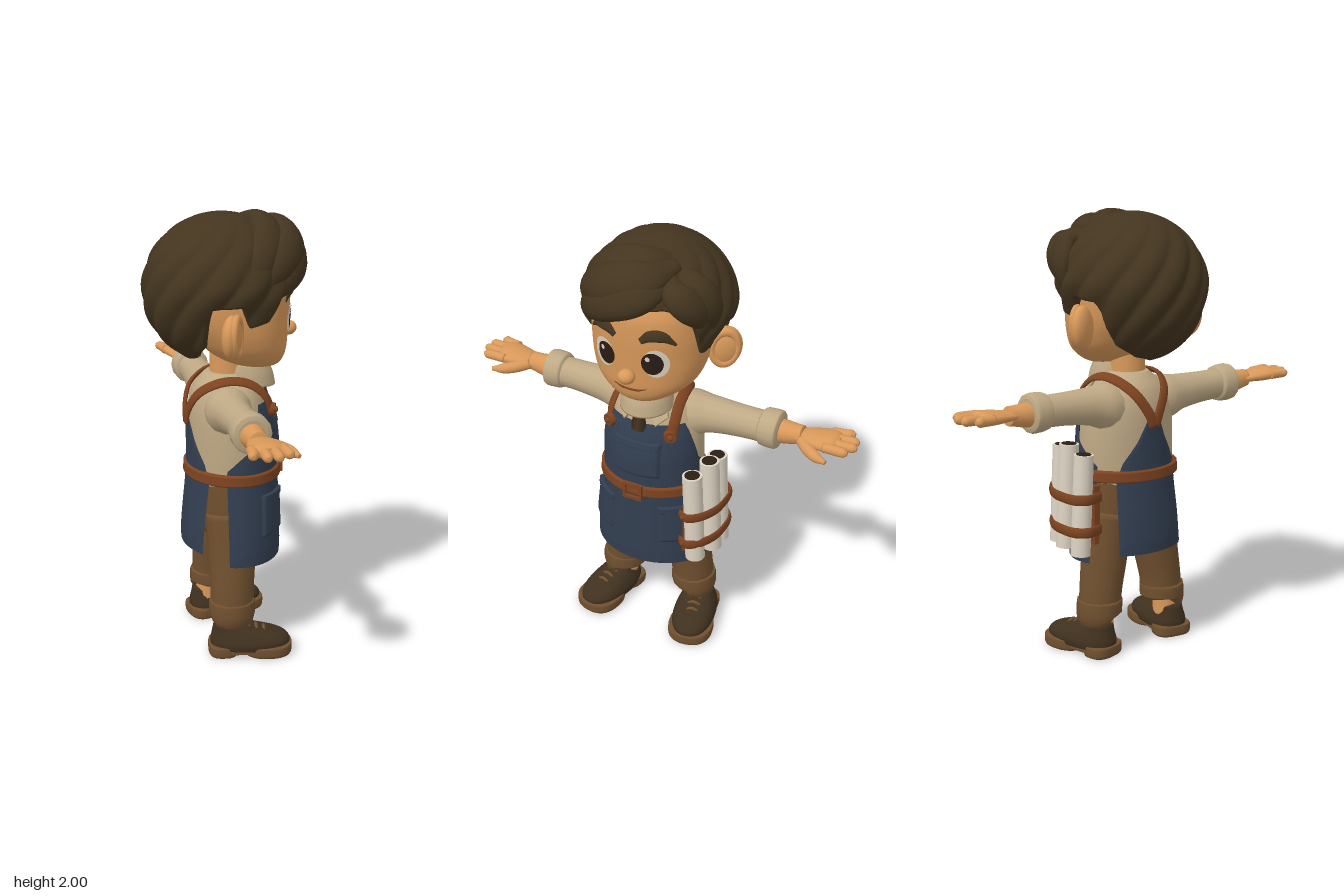
import * as THREE from 'three';
import { mergeVertices } from 'three/addons/utils/BufferGeometryUtils.js';

const V = (x, y, z) => new THREE.Vector3(x, y, z);
const paint = (name, color, side = THREE.FrontSide) => {
  const m = new THREE.MeshStandardMaterial({ color, side });
  m.name = name;
  return m;
};

// Smooth surface from a function of (u, v)
function grid(fn, nu, nv) {
  const pos = [], idx = [];
  for (let j = 0; j <= nv; j++) for (let i = 0; i <= nu; i++) pos.push(...fn(i / nu, j / nv, j));
  for (let j = 0; j < nv; j++) for (let i = 0; i < nu; i++) {
    const a = j * (nu + 1) + i, b = a + 1, c = a + nu + 1, d = c + 1;
    idx.push(a, b, d, a, d, c);
  }
  let g = new THREE.BufferGeometry();
  g.setAttribute('position', new THREE.Float32BufferAttribute(pos, 3));
  g.setIndex(idx);
  g = mergeVertices(g, 1e-5);
  g.computeVertexNormals();
  return g;
}

// Smooth interpolation through rows of numbers, t in 0..1
function spline(rows, t) {
  const n = rows.length - 1, f = Math.min(Math.max(t, 0), 1) * n, i = Math.min(Math.floor(f), n - 1), k = f - i;
  const at = j => rows[Math.min(Math.max(j, 0), n)];
  return rows[0].map((_, c) => {
    const p = at(i - 1)[c], q = at(i)[c], r = at(i + 1)[c], s = at(i + 2)[c];
    return q + 0.5 * k * (r - p + k * (2 * p - 5 * q + 4 * r - s + k * (3 * (q - r) + s - p)));
  });
}
function rowAtY(rows, y) {
  let lo = 0, hi = 1;
  for (let i = 0; i < 30; i++) { const m = (lo + hi) / 2; if (spline(rows, m)[0] < y) lo = m; else hi = m; }
  return spline(rows, lo);
}
const pw = (v, e) => Math.sign(v) * Math.abs(v) ** e;

// Closed body from rows [y, half width, back z, front z]
function loft(rows, n = 2, nu = 40, nv = 28) {
  return grid((u, v, j) => {
    const [y, hx, zb, zf] = spline(rows, (j - 1) / (nv - 2));
    const a = u * Math.PI * 2, s = j === 0 || j === nv ? 0 : 1;
    return [s * hx * pw(Math.sin(a), 2 / n), y, (zb + zf) / 2 + s * (zf - zb) / 2 * pw(Math.cos(a), 2 / n)];
  }, nu, nv);
}

// Tapered strand through points; flat squashes it towards the centre point
function sweep(pts, radii, flat = 1, centre = V(0, 99, 0), nu = 14, nv = 28) {
  const curve = new THREE.CatmullRomCurve3(pts.map(p => V(...p)), false, 'centripetal');
  return grid((u, v, j) => {
    const t = Math.min(Math.max((j - 1) / (nv - 2), 0), 1), p = curve.getPoint(t), T = curve.getTangent(t);
    const N = p.clone().sub(centre).addScaledVector(T, -p.clone().sub(centre).dot(T)).normalize();
    const B = N.clone().cross(T);
    const r = j === 0 || j === nv ? 0 : Math.max(spline(radii.map(q => [q]), t)[0], 0), a = u * Math.PI * 2;
    return p.addScaledVector(B, r * Math.cos(a)).addScaledVector(N, r * flat * Math.sin(a)).toArray();
  }, nu, nv);
}

const HEAD = [[1.305, .03, .12, .2], [1.318, .1, .05, .235], [1.35, .165, -.03, .255], [1.4, .222, -.1, .265],
  [1.47, .25, -.15, .27], [1.55, .262, -.19, .275], [1.65, .265, -.21, .28], [1.75, .25, -.2, .27], [1.85, .2, -.15, .21], [1.92, .08, -.08, .1]];
const faceZ = (x, y) => {
  const [, hx, zb, zf] = rowAtY(HEAD, y);
  return (zb + zf) / 2 + (zf - zb) / 2 * Math.max(1 - Math.abs(x / hx) ** 2.2, 0) ** (1 / 2.2);
};
const APRON = [[.44, .28, -.205, .245], [.6, .266, -.195, .24], [.83, .238, -.175, .232], [1, .235, -.175, .225],
  [1.1, .228, -.18, .207], [1.17, .215, -.175, .185]];

// Cloth patch lying on the apron surface between two angles
function wrap(y0, y1, span, off, nu = 40, nv = 24) {
  return grid((u, v) => {
    const y = y0 + (y1 - y0) * v, [, hx, zb, zf] = rowAtY(APRON, y), [a0, a1] = span(y, hx, zb, zf);
    const du = a1 - a0 > 6 ? 1 : Math.min(u, 1 - u), o = off * Math.min(1, 12 * Math.min(du, v, 1 - v));
    const a = a0 + (a1 - a0) * u;
    return [(hx + o) * Math.sin(a), y, (zb + zf) / 2 + ((zf - zb) / 2 + o) * Math.cos(a)];
  }, nu, nv);
}
const table = (pts, x) => {
  const i = Math.max(1, pts.findIndex(p => p[0] >= x)), [x0, y0] = pts[i - 1], [x1, y1] = pts[i];
  return y0 + (y1 - y0) * Math.min(Math.max((x - x0) / (x1 - x0), 0), 1);
};
// Flat oval that follows the face
const oval = (cx, cy, rx, ry, off) => grid((u, v) => {
  const a = u * Math.PI * 2, x = cx + rx * (1 - v) * Math.cos(a), y = cy + ry * (1 - v) * Math.sin(a);
  return [x, y, faceZ(x, y) + off];
}, 28, 6);

export function createModel() {
  const skin = paint('skin', 0xd9995a), hair = paint('hair', 0x44351f), shirt = paint('shirt', 0xbfa985, THREE.DoubleSide);
  const navy = paint('apronCloth', 0x323e50, THREE.DoubleSide), leather = paint('leather', 0x7d4320, THREE.DoubleSide);
  const brown = paint('trouserCloth', 0x70502f), shoe = paint('shoeLeather', 0x40311f);
  const cream = paint('paper', 0xdcd3c2), dark = paint('dark', 0x2a1d14);
  const body = new THREE.Group();
  body.name = 'figure';
  const add = (name, geo, mat, p = [0, 0, 0], r = [0, 0, 0], s = [1, 1, 1]) => {
    const m = new THREE.Mesh(geo, mat);
    m.name = name;
    m.position.set(...p); m.rotation.set(...r); m.scale.set(...s);
    body.add(m);
    return m;
  };
  const ball = new THREE.SphereGeometry(1, 28, 20);

  // Head and face
  add('head', loft(HEAD, 2.2, 56, 50), skin);
  add('neck', new THREE.CylinderGeometry(.08, .085, .2, 24), skin, [0, 1.27, .01]);
  add('nose', ball, skin, [0, 1.465, .292], [0, 0, 0], [.038, .033, .036]);
  const mouth = [[-.075, 1.402], [-.04, 1.391], [0, 1.388], [.04, 1.391], [.075, 1.402]];
  add('mouth', sweep(mouth.map(([x, y]) => [x, y, faceZ(x, y)]), [.002, .005, .005, .005, .002]), leather);
  for (const s of [1, -1]) {
    add('eyeWhite', oval(s * .12, 1.54, .053, .068, .004), cream);
    add('pupil', oval(s * .107, 1.54, .045, .053, .007), dark);
    add('eyeGlint', oval(s * .107 - .018, 1.562, .01, .012, .009), cream);
    const brow = [[.06, 1.645], [.1, 1.672], [.145, 1.672], [.195, 1.63]];
    add('eyebrow', sweep(brow.map(([x, y]) => [s * x, y, faceZ(x, y) + .004]), [.014, .025, .024, .006], .35, V(0, 1.6, 0)), hair);
    add('ear', ball, skin, [s * .295, 1.51, -.05], [0, s * .5, -s * .12], [.075, .098, .042]);
    add('earRim', new THREE.TorusGeometry(.062, .017, 10, 28), skin, [s * .303, 1.515, -.03], [0, s * .5, -s * .12], [.9, 1.25, 1]);
  }

  // Hair: ridged cap with an uneven hairline, then swept locks
  const line = [[0, 1.8], [.6, 1.79], [.92, 1.72], [1.12, 1.56], [1.4, 1.54], [1.52, 1.64], [1.92, 1.63], [2.1, 1.44], [2.5, 1.38], [3.15, 1.35]];
  const HC = V(0, 1.66, -.02);
  add('hairCap', grid((u, v) => {
    const a = (u * 2 - 1) * Math.PI, w = Math.min((1 - v) * 1.06, 1), fold = v === 0 ? .75 : 1;
    const th = w * Math.acos((table(line, Math.abs(a)) - HC.y) / .335), side = Math.sin(a) ** 2;
    const k = 1 + .055 * Math.sin(th) * (Math.abs(Math.sin(6.5 * (a + .8 * th))) - .6);
    const tuck = 1 - .11 * side * THREE.MathUtils.smoothstep(th, 1.4, 1.9);
    return [.33 * k * tuck * fold * Math.sin(th) * Math.sin(a), HC.y + .335 * Math.cos(th),
      HC.z + .345 * k * fold * Math.sin(th) * Math.cos(a)];
  }, 208, 40), hair);
  const locks = [
    [[[.15, 1.9, .15], [.06, 1.86, .28], [-.08, 1.8, .285], [-.2, 1.73, .22], [-.27, 1.64, .12]], [.03, .08, .085, .065, .01]],
    [[[.14, 1.93, .1], [.06, 1.91, .24], [-.08, 1.87, .26], [-.22, 1.79, .18], [-.29, 1.68, .07]], [.03, .08, .09, .07, .01]],
    [[[.13, 1.93, .03], [.03, 1.945, .15], [-.1, 1.91, .16], [-.24, 1.81, .09], [-.3, 1.68, .0]], [.03, .07, .085, .07, .01]],
    [[[.12, 1.85, .2], [.03, 1.83, .3], [-.06, 1.785, .295], [-.15, 1.725, .255]], [.02, .055, .05, .006]],
    [[[.13, 1.9, .14], [.2, 1.86, .22], [.26, 1.78, .18], [.275, 1.66, .12]], [.02, .065, .065, .008]],
    [[[.14, 1.91, .04], [.23, 1.87, .13], [.29, 1.77, .1], [.285, 1.62, .06]], [.02, .07, .065, .01]],
  ];
  for (const [p, r] of locks) add('hairLock', sweep(p, r, .65, HC, 18, 32), hair);

  // Shirt, collar and tie
  add('shirtBody', loft([[.78, .222, -.16, .21], [.9, .228, -.165, .21], [1.05, .222, -.17, .2], [1.15, .205, -.165, .175],
    [1.22, .17, -.145, .15], [1.27, .11, -.11, .12], [1.29, .085, -.09, .1]]), shirt);
  add('collarBand', loft([[1.23, .12, -.12, .13], [1.28, .112, -.12, .115], [1.32, .1, -.115, .095]], 2, 36, 12), shirt,
    [0, .005, 0], [.08, 0, 0]);
  for (const s of [1, -1]) {
    const flap = new THREE.Shape([[.012, .1], [.09, .13], [.12, .05], [.075, 0]].map(([x, y]) => new THREE.Vector2(s * x, y)));
    add('collarFlap', new THREE.ExtrudeGeometry(flap, { depth: .014, bevelEnabled: true, bevelSize: .004, bevelThickness: .004, bevelSegments: 2 }),
      shirt, [0, 1.165, .172], [-.5, s * .12, 0]);
  }
  add('tieKnot', ball, shoe, [0, 1.23, .155], [-.3, 0, 0], [.038, .028, .02]);
  add('tie', new THREE.CylinderGeometry(.025, .04, .1, 4, 1), shoe, [0, 1.18, .182], [-.25, 0, 0], [1, 1, .4]);

  // Arms and hands
  for (const s of [1, -1]) {
    const arm = (name, pts, radii, mat, flat) => add(name, sweep(pts.map(([x, y, z]) => [s * x, y, z]), radii, flat), mat);
    arm('sleeve', [[.08, 1.135, -.02], [.17, 1.148, -.03], [.25, 1.158, -.035], [.38, 1.165, -.035], [.51, 1.168, -.035]], [.1, .105, .085, .073, .07], shirt);
    arm('sleeveCuff', [[.488, 1.17, -.037], [.497, 1.17, -.037], [.535, 1.17, -.037], [.572, 1.17, -.037], [.58, 1.17, -.037]], [.07, .083, .087, .085, .065], shirt);
    arm('forearm', [[.52, 1.165, -.04], [.6, 1.168, -.04], [.68, 1.175, -.04]], [.06, .052, .042], skin);
    arm('palm', [[.63, 1.172, -.04], [.7, 1.178, -.04], [.77, 1.182, -.04], [.82, 1.185, -.042], [.845, 1.185, -.042]], [.04, .06, .077, .076, .05], skin, .4);
    [[-.105, .885, -.12], [-.063, .92, -.07], [-.02, .925, -.025], [.02, .9, .025]].forEach(([z0, x, z1]) =>
      arm('finger', [[.79, 1.185, z0], [.85, 1.187, (z0 + z1) / 2], [x - .015, 1.188, z1], [x, 1.188, z1]], [.022, .022, .02, .01], skin));
    arm('thumb', [[.68, 1.17, -.01], [.73, 1.163, .035], [.78, 1.158, .066], [.825, 1.155, .082]], [.025, .027, .023, .01], skin);
  }

  // Trousers and shoes
  add('trouserSeat', loft([[.5, .1, -.08, .08], [.56, .2, -.125, .12], [.66, .222, -.15, .17], [.82, .222, -.16, .2]]), brown);
  const upper = loft([[.035, .097, -.125, .235], [.065, .1, -.125, .24], [.095, .088, -.12, .205], [.12, .072, -.115, .11], [.14, .062, -.11, .04], [.15, .05, -.1, .02]], 2.3);
  const front = loft([[0, .1, .03, .245], [.012, .106, .025, .25], [.045, .106, .02, .25], [.05, .1, .03, .245]], 2.4);
  const heel = loft([[0, .085, -.13, .0], [.012, .09, -.135, .0], [.045, .09, -.135, .0], [.05, .085, -.13, .0]], 2.8);
  const shank = new THREE.BoxGeometry(.17, .034, .16);
  for (const s of [1, -1]) {
    add('trouserLeg', sweep([[s * .125, .66, -.02], [s * .15, .45, -.01], [s * .175, .3, -.015], [s * .185, .19, -.018]], [.105, .107, .1, .098], 1, V(0, .4, 9)), brown);
    add('trouserCuff', sweep([[.172, .18], [.18, .186], [.215, .186], [.245, .184], [.25, .184]].map(([y, x]) => [s * x, y, -.018]), [.095, .105, .107, .105, .097], 1, V(0, .2, 9)), brown);
    add('ankle', new THREE.CylinderGeometry(.06, .06, .1, 20), skin, [s * .195, .15, -.035]);
    const place = [[s * .218, 0, 0], [0, s * .2, 0]];
    add('shoeUpper', upper, shoe, ...place);
    add('shoeSole', front, brown, ...place);
    add('shoeHeel', heel, brown, ...place);
    add('shoeShank', shank, brown, [s * .218, .033, 0], [0, s * .2, 0]);
    for (const [z, y, w] of [[.05, .137, .045], [.085, .126, .05], [.12, .115, .05]])
      add('shoeLace', sweep([[-w, y - .022, z], [0, y + .006, z], [w, y - .022, z]], [.006, .008, .006], 1, V(0, 0, 9), 8, 12), brown, ...place);
  }

  // Apron, pockets and belt
  const edge = [[.44, -.05], [.88, -.05], [.93, .0], [.98, .06], [1.08, .085], [1.17, .1]];
  add('apronFront', wrap(.44, 1.17, (y, hx, zb, zf) => {
    const a = Math.acos((table(edge, y) - (zb + zf) / 2) / ((zf - zb) / 2));
    return [-a, a];
  }, .004, 48, 48), navy);
  const backWidth = [[.48, .175], [.82, .165], [.9, .14], [1, .075], [1.12, .02]];
  add('apronBack', wrap(.48, 1.12, (y, hx) => {
    const a = Math.asin(table(backWidth, y) / hx);
    return [Math.PI - a, Math.PI + a];
  }, .004, 24, 40), navy);
  add('bibPocket', wrap(.91, 1.09, () => [-.52, .52], .014), navy);
  add('bibPocketHem', wrap(1.06, 1.09, () => [-.53, .53], .019), navy);
  for (const s of [1, -1]) {
    add('skirtPocket', wrap(.56, .76, () => s > 0 ? [.43, 1.2] : [-1.2, -.43], .014), navy);
    add('skirtPocketHem', wrap(.73, .76, () => s > 0 ? [.42, 1.21] : [-1.21, -.42], .019), navy);
  }
  add('belt', wrap(.81, .866, () => [-Math.PI, Math.PI], .016, 72, 16), leather);
  for (const s of [1, -1]) {
    add('buckleSide', new THREE.BoxGeometry(.014, .08, .014), leather, [s * .04, .838, .252]);
    add('buckleBar', new THREE.BoxGeometry(.09, .014, .014), leather, [0, .838 + s * .035, .252]);
  }
  add('bucklePin', new THREE.BoxGeometry(.045, .01, .012), leather, [.015, .838, .252]);

  // Shoulder straps meeting at the back
  for (const s of [1, -1]) {
    const p = [[.15, 1.12, .172], [.155, 1.19, .148], [.148, 1.25, .085], [.14, 1.272, .01], [.125, 1.262, -.07], [.085, 1.21, -.148], [.03, 1.12, -.182], [.005, 1.06, -.185]];
    add('shoulderStrap', sweep(p.map(([x, y, z]) => [s * x, y, z]), Array(8).fill(.025), .4, V(0, 1.08, 0), 12, 40), leather);
    add('strapButton', new THREE.CylinderGeometry(.028, .032, .022, 20), leather, [s * .15, 1.135, .178], [Math.PI / 2, 0, -s * .4]);
    add('strapStud', ball, leather, [s * .155, 1.135, .19], [0, 0, 0], [.014, .014, .01]);
  }

  // Rolled papers in a leather holder on the left hip
  add('holderPlate', new THREE.BoxGeometry(.03, .27, .26), leather, [.235, .665, .06]);
  for (const [x, z, y, h] of [[.263, .165, .725, .45], [.3, .065, .74, .475], [.293, -.035, .715, .46]]) {
    add('paperRoll', new THREE.CylinderGeometry(.045, .045, h, 24), cream, [x, y, z], [0, 0, .05]);
    add('paperRollHollow', new THREE.CylinderGeometry(.034, .034, h + .006, 24), dark, [x, y, z], [0, 0, .05]);
  }
  const around = [[.21, .2], [.255, .222], [.305, .185], [.345, .11], [.355, .05], [.347, -.05], [.3, -.09], [.22, -.075]];
  for (const y of [.6, .75]) {
    add('holderStrap', sweep(around.map(([x, z]) => [x, y, z]), Array(8).fill(.024), .35, V(.25, y, .06), 12, 40), leather);
    add('holderStud', ball, leather, [.235, y, .224], [0, 0, 0], [.012, .012, .01]);
  }

  // The figure looks along +x
  body.rotation.y = Math.PI / 2;
  const model = new THREE.Group();
  model.name = 'model';
  model.add(body);
  return model;
}
